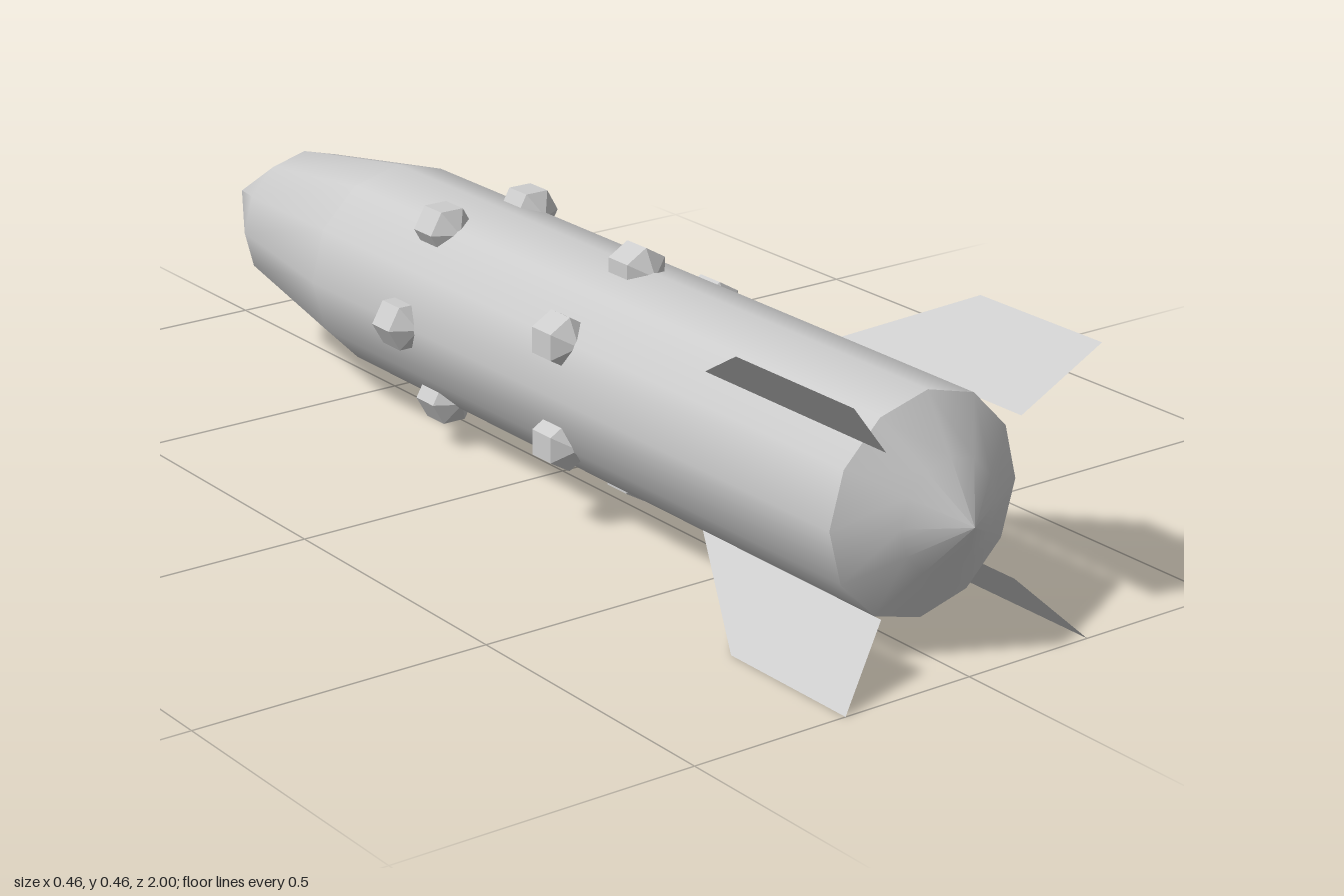
import * as THREE from 'three';

const AXIS_Y = 0.2315; // height of the long axis
const RADIUS = 0.177;
const SIDES = 12;

export function createModel() {
  const rocket = new THREE.Group();
  rocket.name = 'rocket';
  rocket.position.y = AXIS_Y;
  const model = new THREE.Group();
  model.add(rocket);

  const grey = new THREE.MeshStandardMaterial({ color: 0xcccccc, side: THREE.DoubleSide });
  grey.name = 'light grey';

  const add = (name, geometry) => {
    const mesh = new THREE.Mesh(geometry, grey);
    mesh.name = name;
    rocket.add(mesh);
    return mesh;
  };

  // Round parts: profile of [radius, z] points, z rising, turned about z
  const turned = (name, profile) => {
    const points = profile.map(([r, z]) => new THREE.Vector2(r, z));
    return add(name, new THREE.LatheGeometry(points, SIDES).rotateX(Math.PI / 2));
  };
  turned('noseCone', [[0, -1], [0.128, -0.78], [RADIUS, -0.48]]);
  turned('body', [[RADIUS, -0.48], [RADIUS, 0.89]]);
  turned('tailCone', [[RADIUS, 0.89], [0.09, 0.944], [0, 1]]);

  // Two rings of six faceted studs, staggered by half a step
  const studShape = new THREE.SphereGeometry(0.049, 6, 3).rotateX(Math.PI / 2).toNonIndexed();
  studShape.computeVertexNormals();
  [[0.198, Math.PI / 6], [-0.215, 0]].forEach(([z, offset]) => {
    for (let i = 0; i < 6; i++) {
      const angle = offset + (i * Math.PI) / 3;
      const stud = add('stud', studShape);
      stud.position.set(0.17 * Math.cos(angle), 0.17 * Math.sin(angle), z);
      stud.rotation.z = angle;
    }
  });

  // Four flat swept fins on the diagonals, drawn as (radius, -z)
  const outline = [[0.18, -0.537], [0.18, -0.95], [0.3274, -1], [0.3274, -0.74]];
  const finShape = new THREE.ShapeGeometry(
    new THREE.Shape(outline.map(([r, z]) => new THREE.Vector2(r, z)))
  ).rotateX(-Math.PI / 2);
  for (let i = 0; i < 4; i++) {
    add('fin', finShape).rotation.z = Math.PI / 4 + (i * Math.PI) / 2;
  }

  return model;
}
